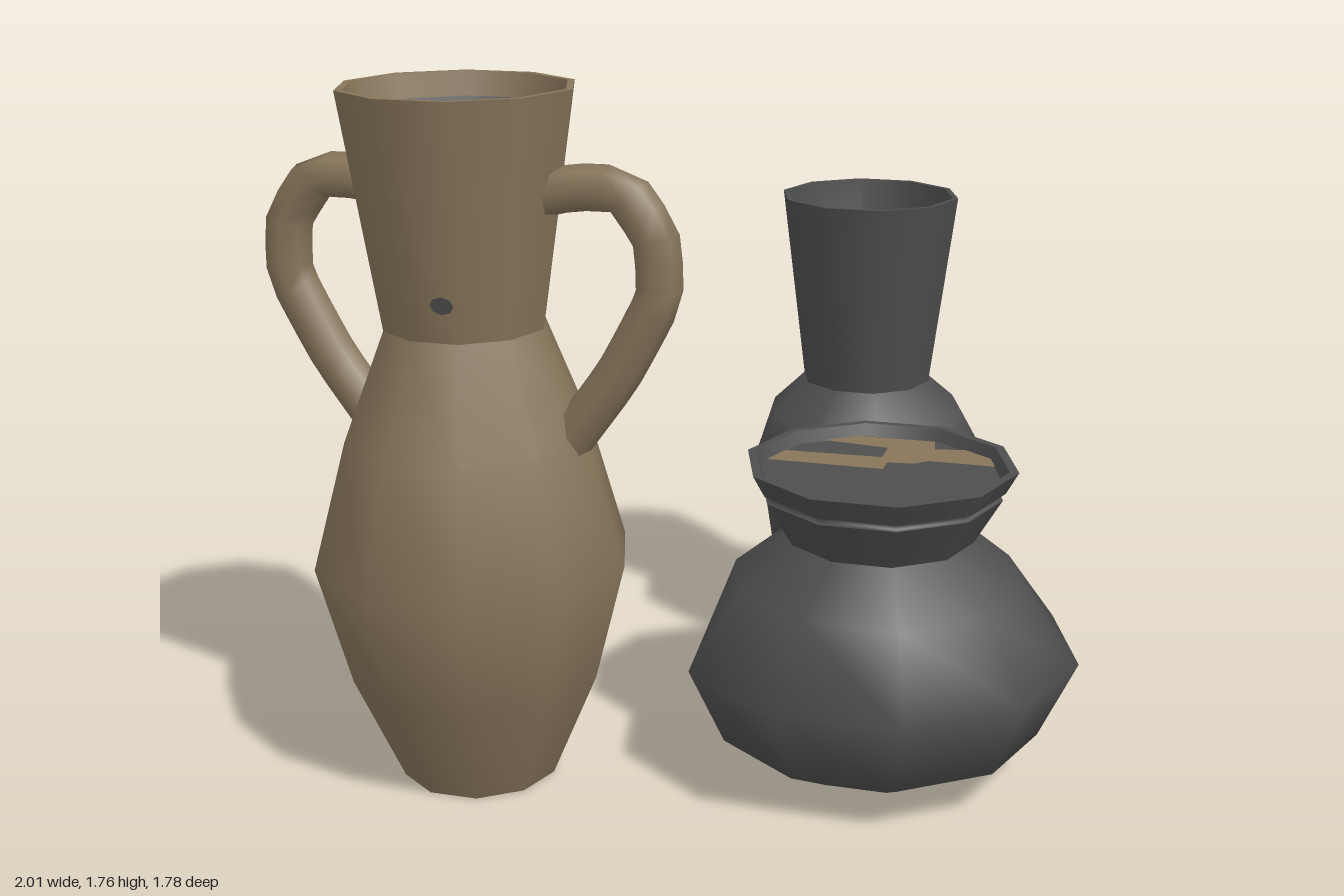
import * as THREE from 'three';

const mat = (name, color) => {
  const m = new THREE.MeshStandardMaterial({ color, side: THREE.DoubleSide });
  m.name = name;
  return m;
};

export function createModel() {
  const clay = mat('brown clay', 0x87755a);
  const dark = mat('dark grey clay', 0x4e4e4e);
  const model = new THREE.Group();
  const v2 = ([x, y]) => new THREE.Vector2(x, y);

  const add = (parent, name, geometry, material) => {
    const mesh = new THREE.Mesh(geometry, material);
    mesh.name = name;
    parent.add(mesh);
    return mesh;
  };
  const vessel = (name, x, z) => {
    const g = new THREE.Group();
    g.name = name;
    g.position.set(x, 0, z);
    model.add(g);
    return g;
  };
  // Ten-sided turned part; minX flattens the side that bulges past it
  const turned = (parent, name, material, profile, minX = -9) => {
    const geo = new THREE.LatheGeometry(profile.map(v2), 10, Math.PI / 2);
    const p = geo.attributes.position;
    for (let i = 0; i < p.count; i++) p.setX(i, Math.max(p.getX(i), minX));
    return add(parent, name, geo, material);
  };
  // Thin flat patch from [x, z] points, facing up
  const patch = (parent, name, material, points, y) => {
    const shape = new THREE.Shape(points.map(([x, z]) => new THREE.Vector2(x, -z)));
    const mesh = add(parent, name, new THREE.ShapeGeometry(shape), material);
    mesh.rotation.x = -Math.PI / 2;
    mesh.position.y = y;
    return mesh;
  };

  // Tall two-handled jar
  const jar = vessel('tallJar', -0.495, 0.51);
  turned(jar, 'jarBase', clay, [[0, 0], [0.2, 0]]);
  turned(jar, 'jarBody', clay, [[0.2, 0], [0.32, 0.28], [0.4, 0.59], [0.31, 0.91], [0.202, 1.18]]);
  turned(jar, 'jarNeck', clay, [[0.202, 1.18], [0.29, 1.76]]);
  turned(jar, 'jarRim', clay, [[0.29, 1.76], [0.272, 1.76]]);
  turned(jar, 'jarInnerLip', clay, [[0.272, 1.76], [0.255, 1.7]]);
  turned(jar, 'jarInside', dark, [[0.255, 1.7], [0.17, 1.6], [0.08, 1.54], [0, 1.52]]);
  const innerSpot = add(jar, 'innerClaySpot', new THREE.CircleGeometry(0.035, 8), clay);
  innerSpot.position.set(-0.045, 1.607, 0.16);
  innerSpot.rotation.x = -Math.PI / 2 - 0.6;
  const neckSpot = add(jar, 'neckSpot', new THREE.CircleGeometry(0.03, 8), dark);
  neckSpot.position.set(0.03, 1.275, 0.209);
  neckSpot.rotation.x = 0.15;
  neckSpot.scale.y = 0.75;

  // Mirrored bent handles
  for (const s of [-1, 1]) {
    const path = [[0.18, 1.51], [0.27, 1.53], [0.395, 1.527], [0.47, 1.42], [0.475, 1.28], [0.37, 1.08], [0.24, 0.9]];
    const curve = new THREE.CatmullRomCurve3(
      path.map(([x, y]) => new THREE.Vector3(0.02 + s * x, y, 0.01)), false, 'catmullrom', 0.2);
    add(jar, s < 0 ? 'rightHandle' : 'leftHandle', new THREE.TubeGeometry(curve, 16, 0.058, 7), clay);
  }

  // Wide squat pot
  const pot = vessel('widePot', 0.485, 0.208);
  turned(pot, 'potBase', dark, [[0, 0.03], [0.255, 0.03]]);
  turned(pot, 'potBody', dark,
    [[0.255, 0.03], [0.42, 0.12], [0.515, 0.325], [0.375, 0.515], [0.24, 0.625]], -0.417);
  turned(pot, 'potNeck', dark, [[0.24, 0.625], [0.308, 0.742]]);
  turned(pot, 'potGroove', dark, [[0.308, 0.742], [0.298, 0.745], [0.298, 0.756], [0.314, 0.76]]);
  turned(pot, 'potCollar', dark, [[0.314, 0.76], [0.345, 0.817]]);
  turned(pot, 'potRim', dark, [[0.345, 0.817], [0.322, 0.817]]);
  turned(pot, 'potInnerLip', dark, [[0.322, 0.817], [0.308, 0.785]]);
  turned(pot, 'potFill', dark, [[0.308, 0.785], [0, 0.785]]);
  patch(pot, 'fillClayPatch', clay, [
    [-0.14, -0.28], [0.09, -0.285], [0.1, -0.22], [0.21, -0.24], [0.25, -0.2], [0.29, -0.12],
    [0.1, -0.12], [0.07, -0.09], [0, -0.08], [0, -0.026], [-0.3, -0.026], [-0.29, -0.11],
    [-0.02, -0.12], [-0.02, -0.2], [-0.19, -0.22],
  ], 0.788);

  // Slim vase at the back
  const vase = vessel('slimVase', 0.29, -0.57);
  turned(vase, 'vaseBase', dark, [[0, 0.13], [0.15, 0.13]]);
  turned(vase, 'vaseFootUnderside', clay, [[0.15, 0.13], [0.173, 0.127]]);
  turned(vase, 'vaseFoot', clay, [[0.173, 0.127], [0.184, 0.15]]);
  turned(vase, 'vaseBody', dark,
    [[0.184, 0.15], [0.29, 0.36], [0.334, 0.635], [0.282, 0.725], [0.182, 0.81]], -0.27);
  turned(vase, 'vaseNeck', dark, [[0.182, 0.81], [0.25, 1.344]]);
  turned(vase, 'vaseRim', dark, [[0.25, 1.344], [0.236, 1.344]]);
  turned(vase, 'vaseInside', dark, [[0.236, 1.344], [0.17, 0.85], [0, 0.78]]);

  return model;
}
